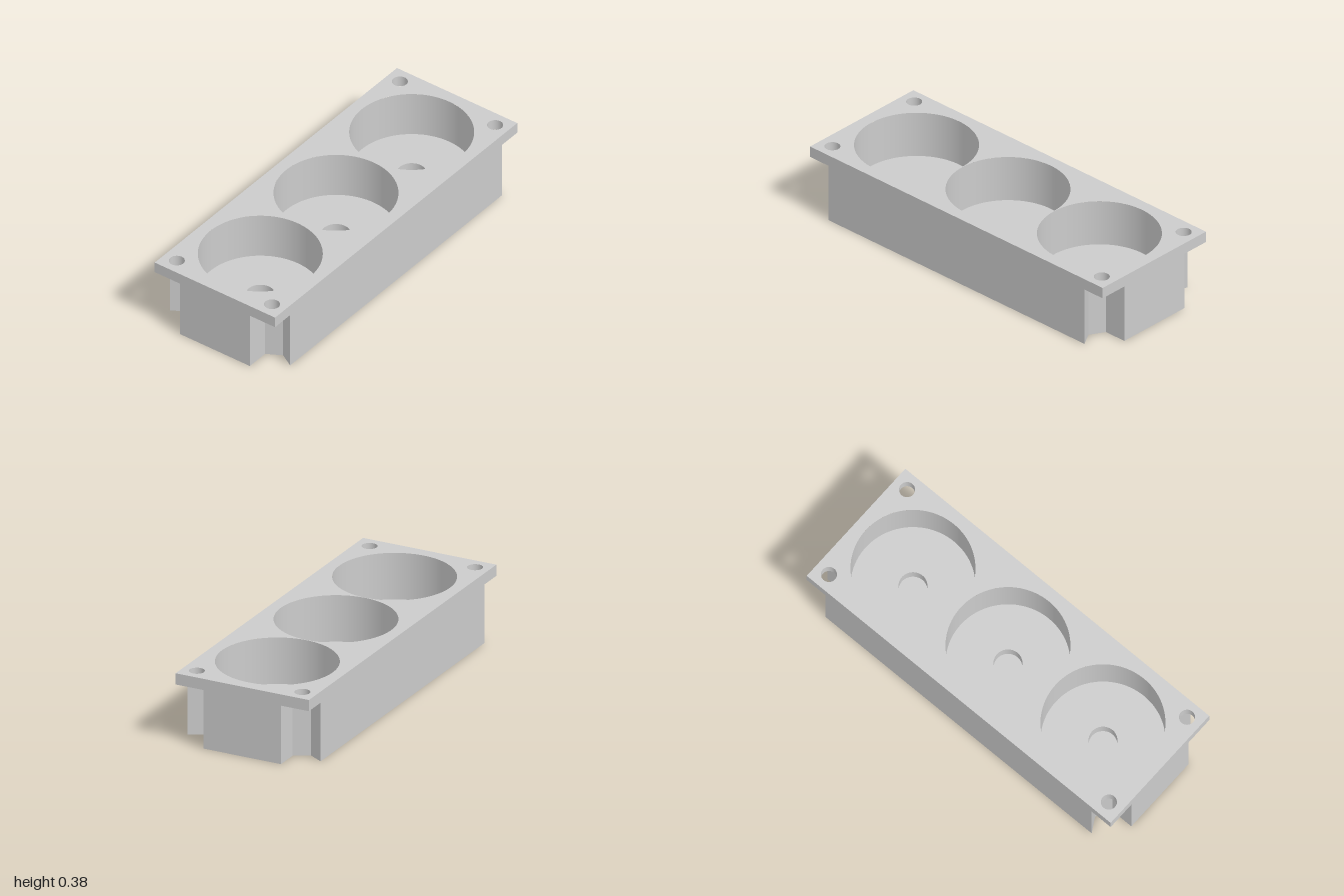
import * as THREE from 'three';

const SEG = 96;
const W = 1, D = 0.375;                        // half width and half depth
const TOP = 0.375, LIP = 0.315;                // top face and underside of the corner lugs
const FLOOR = 0.125, RECESS = 0.06;            // cup floor and bottom of the small recess
const CUP_R = 0.311, RECESS_R = 0.072, HOLE_R = 0.04;
const CUPS = [-0.625, 0, 0.625];
const HOLE = [0.921, 0.297];
const CORNERS = [[1, 1], [-1, 1], [-1, -1], [1, -1]];
// Half-hexagon notch cut into each corner, as x, z
const NOTCH = [[W, 0.218], [0.875, 0.218], [0.83, 0.297], [0.875, D]];

export function createModel() {
  const model = new THREE.Group();
  const material = new THREE.MeshStandardMaterial({ color: 0xcccccc });
  const inner = new THREE.MeshStandardMaterial({ color: 0xcccccc, side: THREE.BackSide });

  const add = (name, geometry, mat = material) => {
    const mesh = new THREE.Mesh(geometry, mat);
    mesh.name = name;
    model.add(mesh);
    return mesh;
  };

  const circle = (x, z, r) => new THREE.Path().absarc(x, z, r, 0, Math.PI * 2, false);

  // Flat horizontal face with round holes, facing up or down
  const flat = (name, points, holes, y, up) => {
    const s = up ? -1 : 1;
    const shape = new THREE.Shape(points.map(([x, z]) => new THREE.Vector2(x, s * z)));
    shape.holes = holes.map(([x, z, r]) => circle(x, s * z, r));
    const geometry = new THREE.ShapeGeometry(shape, SEG);
    geometry.rotateX(s * Math.PI / 2).translate(0, y, 0);
    add(name, geometry);
  };

  // Flat-sided vertical wall around a closed outline
  const wall = (name, points, y0, y1) => {
    const pos = [];
    points.forEach(([ax, az], i) => {
      const [bx, bz] = points[(i + 1) % points.length];
      pos.push(ax, y0, az, ax, y1, az, bx, y1, bz, ax, y0, az, bx, y1, bz, bx, y0, bz);
    });
    const geometry = new THREE.BufferGeometry();
    geometry.setAttribute('position', new THREE.Float32BufferAttribute(pos, 3));
    geometry.computeVertexNormals();
    add(name, geometry);
  };

  // Inside surface of a round hole
  const bore = (name, x, z, r, y0, y1) =>
    add(name, new THREE.CylinderGeometry(r, r, y1 - y0, SEG, 1, true), inner)
      .position.set(x, (y0 + y1) / 2, z);

  const rect = CORNERS.map(([sx, sz]) => [sx * W, sz * D]);
  const outline = CORNERS.flatMap(([sx, sz]) => {
    const pts = NOTCH.map(([x, z]) => [sx * x, sz * z]);
    return sx * sz > 0 ? pts : pts.reverse();
  });
  const screwHoles = CORNERS.map(([sx, sz]) => [sx * HOLE[0], sz * HOLE[1], HOLE_R]);

  // Outer block
  flat('topFace', rect, [...CUPS.map((x) => [x, 0, CUP_R]), ...screwHoles], TOP, true);
  wall('plateRim', rect, LIP, TOP);
  wall('bodyWall', outline, 0, LIP);
  flat('bottomFace', outline, [], 0, false);

  // Corner lugs over the notches, each with a screw hole
  CORNERS.forEach(([sx, sz], i) => {
    const under = [...NOTCH, [W, D]].map(([x, z]) => [sx * x, sz * z]);
    flat('lugUnderside', under, [screwHoles[i]], LIP, false);
    bore('screwHole', screwHoles[i][0], screwHoles[i][1], HOLE_R, LIP, TOP);
  });

  // Round cups, each with a small recess in its floor
  for (const x of CUPS) {
    bore('cupWall', x, 0, CUP_R, FLOOR, TOP);
    const ring = new THREE.RingGeometry(RECESS_R, CUP_R, SEG).rotateX(-Math.PI / 2);
    add('cupFloor', ring).position.set(x, FLOOR, 0);
    bore('recessWall', x, 0, RECESS_R, RECESS, FLOOR);
    const disc = new THREE.CircleGeometry(RECESS_R, SEG).rotateX(-Math.PI / 2);
    add('recessFloor', disc).position.set(x, RECESS, 0);
  }
  return model;
}
